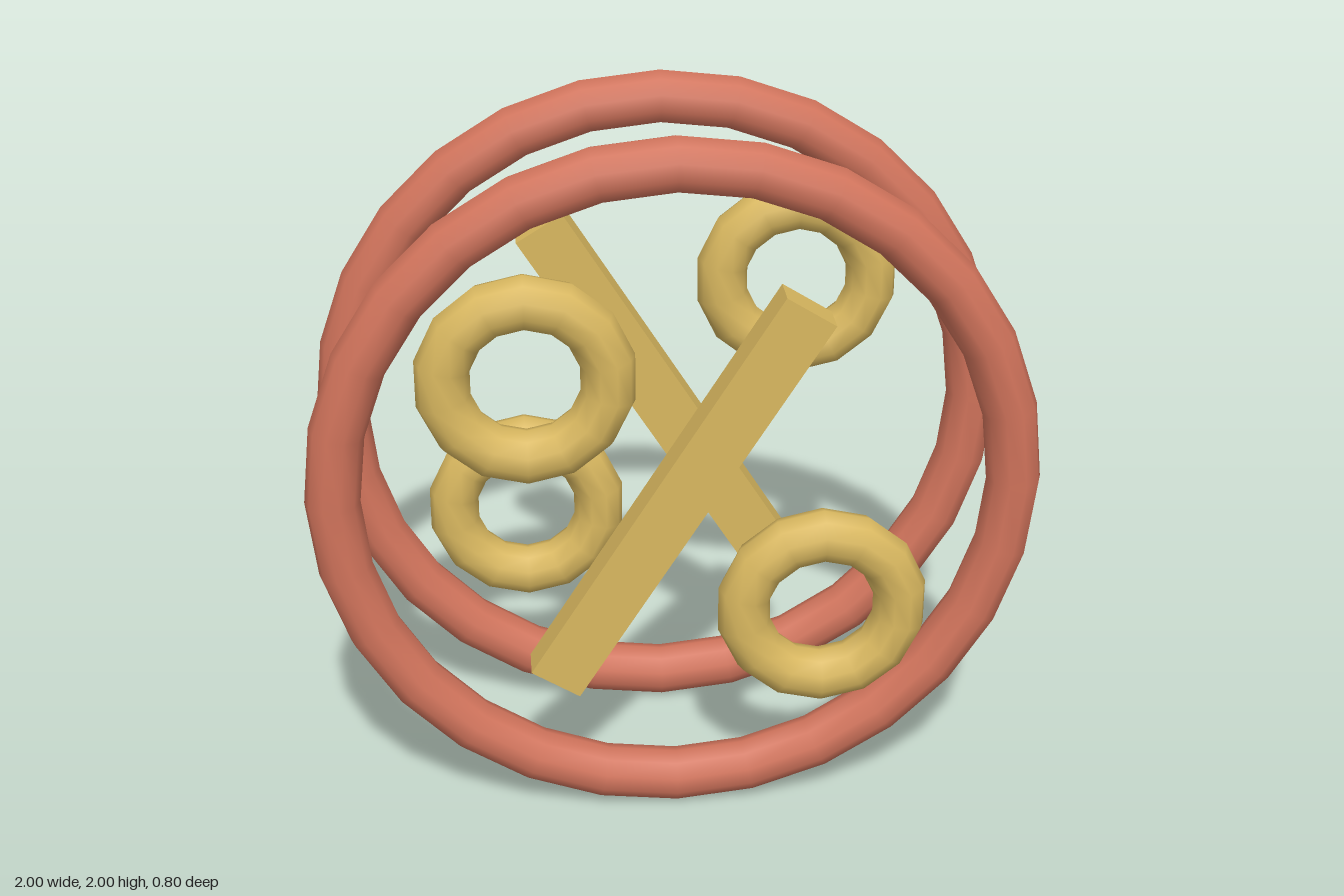
import * as THREE from 'three';

const coral = new THREE.MeshStandardMaterial({ color: 0xd0735b });
coral.name = 'coral';
const gold = new THREE.MeshStandardMaterial({ color: 0xd8b75f });
gold.name = 'gold';

function add(parent, name, geometry, material, x, y, z, turn = 0) {
  const mesh = new THREE.Mesh(geometry, material);
  mesh.name = name;
  mesh.position.set(x, y, z);
  mesh.rotation.z = turn;
  parent.add(mesh);
}

// One face: a large hoop, a slanted bar and two small rings
function createFace(name) {
  const face = new THREE.Group();
  face.name = name;
  add(face, 'hoop', new THREE.TorusGeometry(0.925, 0.075, 10, 28), coral, 0, 1, 0.283);
  add(face, 'slantedBar', new THREE.BoxGeometry(0.156, 1.29, 0.1), gold, 0, 1, 0.33, -0.559);
  const ring = new THREE.TorusGeometry(0.221, 0.074, 10, 14);
  add(face, 'upperRing', ring, gold, -0.4, 1.36, 0.33, Math.PI / 2);
  add(face, 'lowerRing', ring, gold, 0.4, 0.645, 0.33, Math.PI / 2);
  return face;
}

export function createModel() {
  const model = new THREE.Group();
  model.name = 'doubleHoopSign';
  model.add(createFace('frontFace'));

  // The back is the same face turned half way round
  const back = createFace('backFace');
  back.rotation.y = Math.PI;
  model.add(back);
  return model;
}
